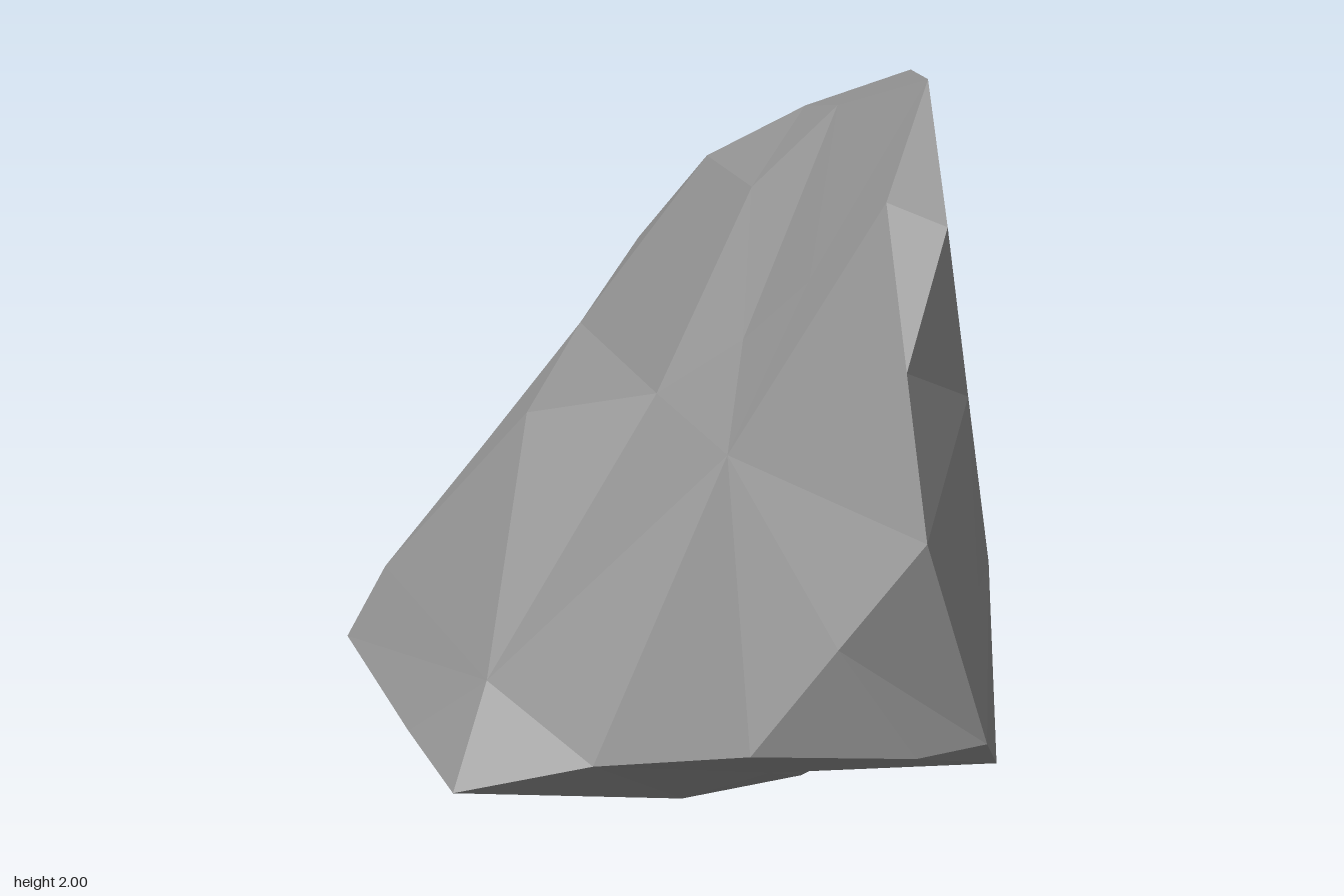
import * as THREE from 'three';
import { ConvexGeometry } from 'three/addons/geometries/ConvexGeometry.js';

// Corner and ridge points of the boulder, grouped by region
const crest = [
  [0.27, 2.0, -0.56], [0.13, 1.95, -0.61], [-0.02, 1.82, -0.49], [-0.17, 1.75, -0.5],
  [-0.4, 1.55, -0.36], [0.32, 1.72, -0.39], [0.46, 1.68, -0.48],
];
const frontFace = [
  [-0.17, 1.57, -0.33], [0.14, 1.45, -0.28], [-0.02, 1.24, -0.19], [-0.2, 1.05, -0.05],
  [0.14, 1.03, -0.02], [-0.55, 0.89, 0.1], [-0.28, 0.34, 0.43],
];
const frontRim = [
  [-0.63, 1.04, -0.13], [-0.73, 0.72, 0.1], [-0.83, 0.4, 0.34], [-0.87, 0.21, 0.43],
  [-0.48, 0.14, 0.53], [-0.19, 0.11, 0.605], [0.13, 0.26, 0.4], [0.65, 0.48, 0.29],
  [0.77, 0.78, 0.1], [0.88, 1.07, -0.1], [0.6, 1.395, -0.245],
];
const sides = [
  [-0.77, 1.13, -0.42], [-0.76, 0.95, -0.37], [-0.81, 0.75, -0.26], [-1, 0.12, -0.09],
  [0.53, 1.25, -0.31], [0.79, 0.83, -0.33], [0.7, 0.83, -0.43],
  [0.94, 0.5, -0.02], [1, 0.51, -0.2], [0.92, 0.39, -0.29],
];
const back = [
  [-0.32, 1.54, -0.515], [-0.08, 1.33, -0.61], [-0.3, 0.71, -0.61],
  [0.13, 1.12, -0.55], [0.58, 1.25, -0.455], [0.52, 0.34, -0.39],
];
const base = [
  [-0.78, 0.1, -0.54], [-0.51, 0.09, -0.61], [0.13, 0.29, -0.49], [0.28, 0.12, -0.15],
  [0.38, 0.23, 0.03], [0.08, 0.04, 0.08], [-0.24, 0, 0.24], [-0.4, 0.065, -0.27],
];

const centre = new THREE.Vector3(0, 0.72, -0.2);

// Scales the distance from the centre by a power
function bulge(point, power) {
  point.sub(centre);
  return point.setLength(Math.pow(point.length(), power)).add(centre);
}

export function createModel() {
  const stone = new THREE.MeshStandardMaterial({ color: 0x8c8c8c, flatShading: true });
  stone.name = 'grey stone';

  // Wrap the points while rounded into a near sphere, then undo the rounding so dents stay
  const power = 0.1;
  const points = [...crest, ...frontFace, ...frontRim, ...sides, ...back, ...base]
    .map((p) => bulge(new THREE.Vector3(...p), power));
  const geometry = new ConvexGeometry(points);
  const position = geometry.attributes.position;
  const v = new THREE.Vector3();
  for (let i = 0; i < position.count; i++) {
    bulge(v.fromBufferAttribute(position, i), 1 / power);
    position.setXYZ(i, v.x, v.y, v.z);
  }
  geometry.computeVertexNormals();

  const boulder = new THREE.Mesh(geometry, stone);
  boulder.name = 'boulder';
  const model = new THREE.Group();
  model.name = 'rock';
  model.add(boulder);
  return model;
}
